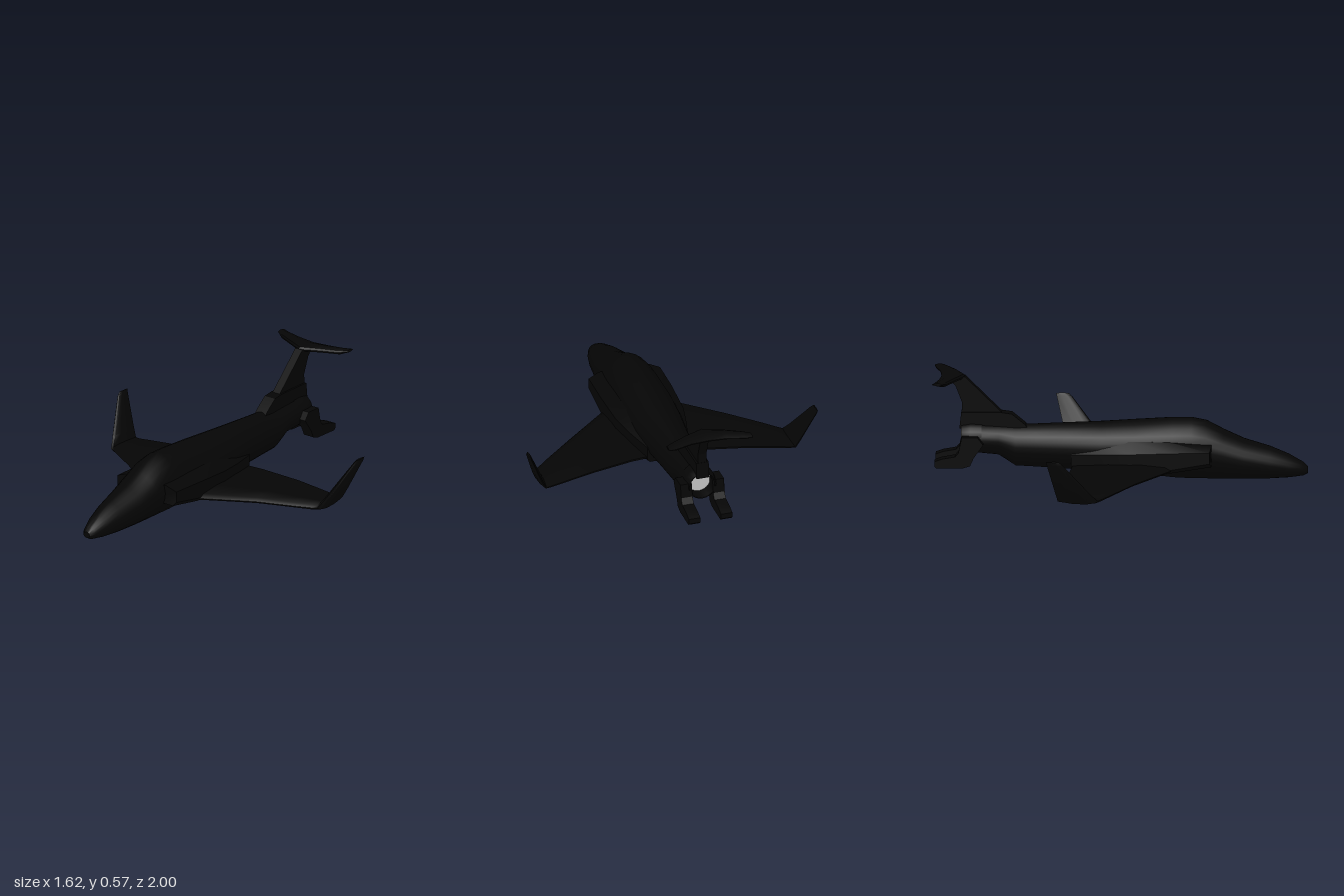
import * as THREE from 'three';
import { toCreasedNormals } from 'three/addons/utils/BufferGeometryUtils.js';

const dark = new THREE.MeshStandardMaterial({ color: 0x050505 });
const darkOpen = new THREE.MeshStandardMaterial({ color: 0x050505, side: THREE.DoubleSide });
const grey = new THREE.MeshStandardMaterial({ color: 0xcccccc, side: THREE.DoubleSide });

// Closed skin over equal-length rings of [x, y, z], turned outward whatever the ring direction
function loft(rings, crease = 0.6) {
  const n = rings[0].length, pos = rings.flat(2), idx = [];
  for (let i = 0; i < rings.length - 1; i++)
    for (let j = 0; j < n; j++) {
      const a = i * n + j, b = i * n + (j + 1) % n;
      idx.push(a, b, b + n, a, b + n, a + n);
    }
  [0, rings.length - 1].forEach((r, end) => {
    const c = pos.length / 3;
    for (let k = 0; k < 3; k++) pos.push(rings[r].reduce((s, p) => s + p[k], 0) / n);
    for (let j = 0; j < n; j++) {
      const a = r * n + j, b = r * n + (j + 1) % n;
      idx.push(c, end ? a : b, end ? b : a);
    }
  });
  const v = (i) => new THREE.Vector3().fromArray(pos, i * 3);
  let volume = 0;
  for (let i = 0; i < idx.length; i += 3) volume += v(idx[i]).dot(v(idx[i + 1]).cross(v(idx[i + 2])));
  if (volume < 0) idx.reverse();
  const g = new THREE.BufferGeometry();
  g.setAttribute('position', new THREE.Float32BufferAttribute(pos, 3));
  g.setIndex(idx);
  return toCreasedNormals(g, crease);
}

const mirrored = (rings) => rings.map((r) => r.map(([x, y, z]) => [-x, y, z]));

// Side outline in [z, y], given a thickness between x0 and x1
function slab(points, x0, x1) {
  const ring = (x) => points.map(([z, y]) => [x, y, z]);
  return loft([ring(x0), ring(x1)], 0.4);
}

// Aerofoil ring: x, y of the chord line, leading and trailing z, thickness, tilt about z
function foil(x, y, lead, trail, t, tilt = 0) {
  return [[0, 0], [0.06, 0.3], [0.3, 0.5], [0.65, 0.4], [1, 0.08], [1, -0.08], [0.65, -0.4], [0.3, -0.5], [0.06, -0.3]]
    .map(([c, h]) => [x - Math.sin(tilt) * h * t, y + Math.cos(tilt) * h * t, lead + (trail - lead) * c]);
}

export function createModel() {
  const model = new THREE.Group();
  const add = (name, geometry, material = dark) => {
    const mesh = new THREE.Mesh(geometry, material);
    mesh.name = name;
    model.add(mesh);
    return mesh;
  };
  const addPair = (name, rings, crease) => {
    add('left' + name, loft(rings, crease));
    add('right' + name, loft(mirrored(rings), crease));
  };

  // Fuselage: z, bottom, top, half width, height of the widest line
  const stations = [
    [1, 0.035, 0.07, 0.02, 0.05], [0.975, 0.022, 0.095, 0.04, 0.055], [0.9, 0.012, 0.138, 0.068, 0.07],
    [0.8, 0.006, 0.18, 0.092, 0.09], [0.66, 0.004, 0.222, 0.115, 0.12], [0.55, 0.003, 0.272, 0.127, 0.15],
    [0.46, 0.003, 0.32, 0.133, 0.17], [0.38, 0.003, 0.336, 0.138, 0.18], [0.28, 0.008, 0.335, 0.142, 0.18],
    [0.08, 0.032, 0.322, 0.146, 0.18], [-0.1, 0.04, 0.31, 0.135, 0.18], [-0.28, 0.05, 0.302, 0.113, 0.18],
    [-0.45, 0.06, 0.294, 0.098, 0.18], [-0.56, 0.065, 0.29, 0.088, 0.18], [-0.65, 0.125, 0.294, 0.085, 0.21],
    [-0.76, 0.135, 0.3, 0.085, 0.217]];
  add('fuselage', loft(stations.map(([z, low, high, w, mid]) =>
    Array.from({ length: 24 }, (_, i) => {
      const a = i / 24 * Math.PI * 2, c = Math.cos(a), s = Math.sin(a);
      return [w * Math.sign(c) * Math.pow(Math.abs(c), s > 0 ? 1.25 : 1), mid + s * (s > 0 ? high - mid : mid - low), z];
    }))));

  // Side intakes fading into the rear body
  addPair('Intake', [
    [0.49, 0.2, 0.105, 0.185, 0.21], [0.28, 0.2, 0.07, 0.18, 0.225], [0.05, 0.19, 0.055, 0.17, 0.23],
    [-0.1, 0.16, 0.055, 0.16, 0.22], [-0.26, 0.115, 0.06, 0.15, 0.2]]
    .map(([z, x, low, side, high], i) => [
      [0.06, low, z], [x - 0.015, low, z], [x, low + 0.02, z - (i ? 0 : 0.01)],
      [x, side, z - (i ? 0 : 0.01)], [x - 0.06, high, z], [0.06, high, z]]));

  // Cranked wings
  addPair('Wing', [
    foil(0.08, 0.085, 0.37, -0.25, 0.07), foil(0.2, 0.085, 0.275, -0.26, 0.06),
    foil(0.43, 0.068, 0.095, -0.285, 0.052), foil(0.6, 0.045, -0.03, -0.3, 0.046),
    foil(0.67, 0.035, -0.085, -0.305, 0.045, 0.15), foil(0.7, 0.035, -0.1, -0.312, 0.04, 0.7),
    foil(0.725, 0.085, -0.145, -0.325, 0.035, 1.1), foil(0.8, 0.255, -0.285, -0.368, 0.02, 1.15),
    foil(0.805, 0.272, -0.305, -0.372, 0.01, 1.15)], 0.7);

  // Tail fin, its root fairing and the swept tailplane
  add('finFairing', slab([[-0.49, 0.27], [-0.51, 0.295], [-0.58, 0.352], [-0.64, 0.36], [-0.85, 0.36], [-0.86, 0.27]], -0.035, 0.035));
  add('fin', slab([[-0.6, 0.32], [-0.64, 0.365], [-0.83, 0.552], [-0.92, 0.55], [-0.88, 0.5], [-0.845, 0.41], [-0.85, 0.33]], -0.024, 0.024));
  const half = [foil(0.1, 0.552, -0.875, -0.965, 0.036), foil(0.19, 0.55, -0.92, -0.99, 0.034), foil(0.235, 0.556, -0.95, -1, 0.014)];
  add('tailplane', loft([...mirrored(half).reverse(), foil(0, 0.55, -0.83, -0.955, 0.04), ...half]));

  // Open nozzle with a pale exhaust face
  const nozzle = add('nozzle', new THREE.LatheGeometry(
    [[0.084, 0], [0.086, 0.06], [0.078, 0.11], [0.07, 0.11], [0.06, 0.03]].map(([r, y]) => new THREE.Vector2(r, y)), 24), darkOpen);
  nozzle.rotation.x = -Math.PI / 2;
  nozzle.position.set(0, 0.218, -0.74);
  const face = add('exhaustFace', new THREE.CircleGeometry(0.066, 24), grey);
  face.rotation.y = Math.PI;
  face.position.set(0, 0.218, -0.79);

  // Ventral tail legs with rearward feet
  const leg = [[-0.73, 0.2], [-0.78, 0.13], [-0.8, 0.085], [-0.84, 0.072], [-0.98, 0.07], [-0.99, 0.08],
    [-0.99, 0.108], [-0.95, 0.122], [-0.88, 0.135], [-0.855, 0.165], [-0.845, 0.24], [-0.76, 0.24]];
  add('leftTailLeg', slab(leg, 0.058, 0.122));
  add('rightTailLeg', slab(leg, -0.122, -0.058));

  return model;
}
